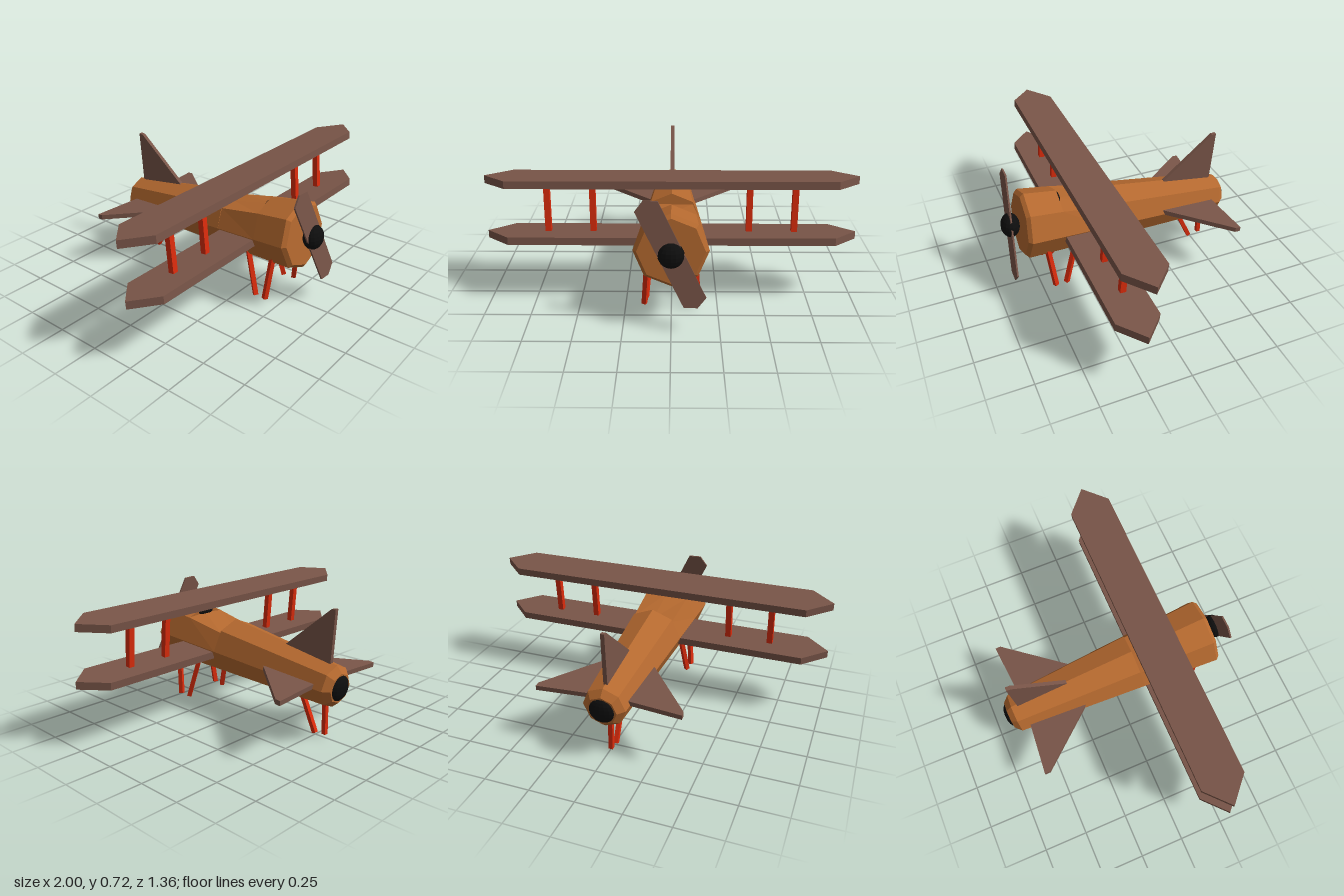
import * as THREE from 'three';

const mat = (name, color) => {
  const m = new THREE.MeshStandardMaterial({ color, flatShading: true });
  m.name = name;
  return m;
};

export function createModel() {
  const wood = mat('fuselage wood', 0xb5692f);
  const brown = mat('wing brown', 0x795548);
  const red = mat('strut red', 0xdd2c0c);
  const black = mat('black', 0x0e0e0e);

  const model = new THREE.Group();
  model.name = 'biplane';
  // everything but the legs sits in a frame pitched nose up
  const body = new THREE.Group();
  body.name = 'airframe';
  body.position.y = 0.368;
  body.rotation.x = -0.09;
  model.add(body);

  const add = (parent, name, geo, material, x = 0, y = 0, z = 0) => {
    const mesh = new THREE.Mesh(geo, material);
    mesh.name = name;
    mesh.position.set(x, y, z);
    parent.add(mesh);
    return mesh;
  };

  // flat plate from an outline, centred on its thickness
  const plate = (points, depth) => {
    const shape = new THREE.Shape(points.map(p => new THREE.Vector2(...p)));
    return new THREE.ExtrudeGeometry(shape, { depth, bevelEnabled: false }).translate(0, 0, -depth / 2);
  };
  // long plate with pointed ends
  const pointed = (half, shoulder, halfWidth, depth) => plate([
    [-half, 0], [-shoulder, -halfWidth], [shoulder, -halfWidth],
    [half, 0], [shoulder, halfWidth], [-shoulder, halfWidth]], depth);

  // square bar between two points
  const bar = (parent, name, a, b, size) => {
    const from = new THREE.Vector3(...a), to = new THREE.Vector3(...b);
    const dir = to.clone().sub(from);
    const mesh = add(parent, name, new THREE.BoxGeometry(size, dir.length(), size), red);
    mesh.position.copy(from).add(to).multiplyScalar(0.5);
    mesh.quaternion.setFromUnitVectors(new THREE.Vector3(0, 1, 0), dir.normalize());
  };

  // fuselage: octagonal rings [z, radius, cockpit floor height]
  const rings = [
    [0.58, 0], [0.58, 0.175], [0.56, 0.195],
    [0.375, 0.183], [0.375, 0.183, 0.14], [0.12, 0.166, 0.104], [0.12, 0.166],
    [-0.62, 0.118], [-0.655, 0.083], [-0.655, 0]];
  const pos = [], index = [], n = 8;
  rings.forEach(([z, r, floor = 1], i) => {
    for (let j = 0; j < n; j++) {
      const a = (j / n) * Math.PI * 2;
      pos.push(r * Math.cos(a), Math.min(r * Math.sin(a), floor), z);
      if (i === rings.length - 1) continue;
      const p = i * n + j, q = i * n + (j + 1) % n;
      index.push(p, p + n, q, q, p + n, q + n);
    }
  });
  const hull = new THREE.BufferGeometry();
  hull.setAttribute('position', new THREE.Float32BufferAttribute(pos, 3));
  hull.setIndex(index);
  hull.computeVertexNormals();
  add(body, 'fuselage', hull, wood);

  // black rounded fittings
  const ball = (name, sx, sy, sz, y, z) =>
    add(body, name, new THREE.SphereGeometry(1, 16, 10).scale(sx, sy, sz), black, 0, y, z);
  ball('propellerHub', 0.068, 0.068, 0.052, 0.003, 0.633);
  ball('tailCap', 0.072, 0.072, 0.034, 0, -0.648);
  ball('cockpitPanel', 0.055, 0.022, 0.014, 0.148, 0.373);

  // propeller
  const propeller = add(body, 'propeller', pointed(0.313, 0.28, 0.063, 0.009), brown, 0, 0.003, 0.638);
  propeller.rotation.z = Math.PI / 2 + 0.445;

  // wings
  const wing = pointed(1, 0.87, 0.118, 0.042).rotateX(Math.PI / 2);
  add(body, 'upperWing', wing, brown, 0, 0.282, 0.247);
  add(body, 'lowerWing', wing, brown, 0, -0.0265, 0.25);

  // wing struts
  for (const x of [-0.67, -0.425, 0.42, 0.665])
    bar(body, 'wingStrut', [x, -0.02, 0.247], [x, 0.275, 0.247], 0.032);

  // tail surfaces
  const tail = plate([[0, -0.1], [0.14, -0.24], [0.405, -0.56], [0.405, -0.59],
    [0.12, -0.565], [-0.12, -0.565], [-0.405, -0.59], [-0.405, -0.56], [-0.14, -0.24]], 0.027);
  add(body, 'tailplane', tail.rotateX(Math.PI / 2), brown, 0, 0.0105, 0);
  const fin = plate([[0.28, 0.1], [0.28, 0.138], [0.553, 0.408], [0.578, 0.412], [0.584, 0.1]], 0.022);
  add(body, 'tailFin', fin.rotateY(Math.PI / 2), brown);

  // landing legs
  for (const s of [-1, 1]) {
    bar(model, 'frontLeg', [s * 0.125, 0.31, 0.465], [s * 0.145, 0.04, 0.435], 0.025);
    bar(model, 'frontLeg', [s * 0.115, 0.3, 0.293], [s * 0.14, 0.037, 0.37], 0.025);
  }
  bar(model, 'rearLeg', [-0.008, 0.24, -0.386], [-0.008, 0.008, -0.492], 0.024);
  bar(model, 'rearLeg', [-0.008, 0.24, -0.555], [-0.008, 0.02, -0.557], 0.024);

  return model;
}
